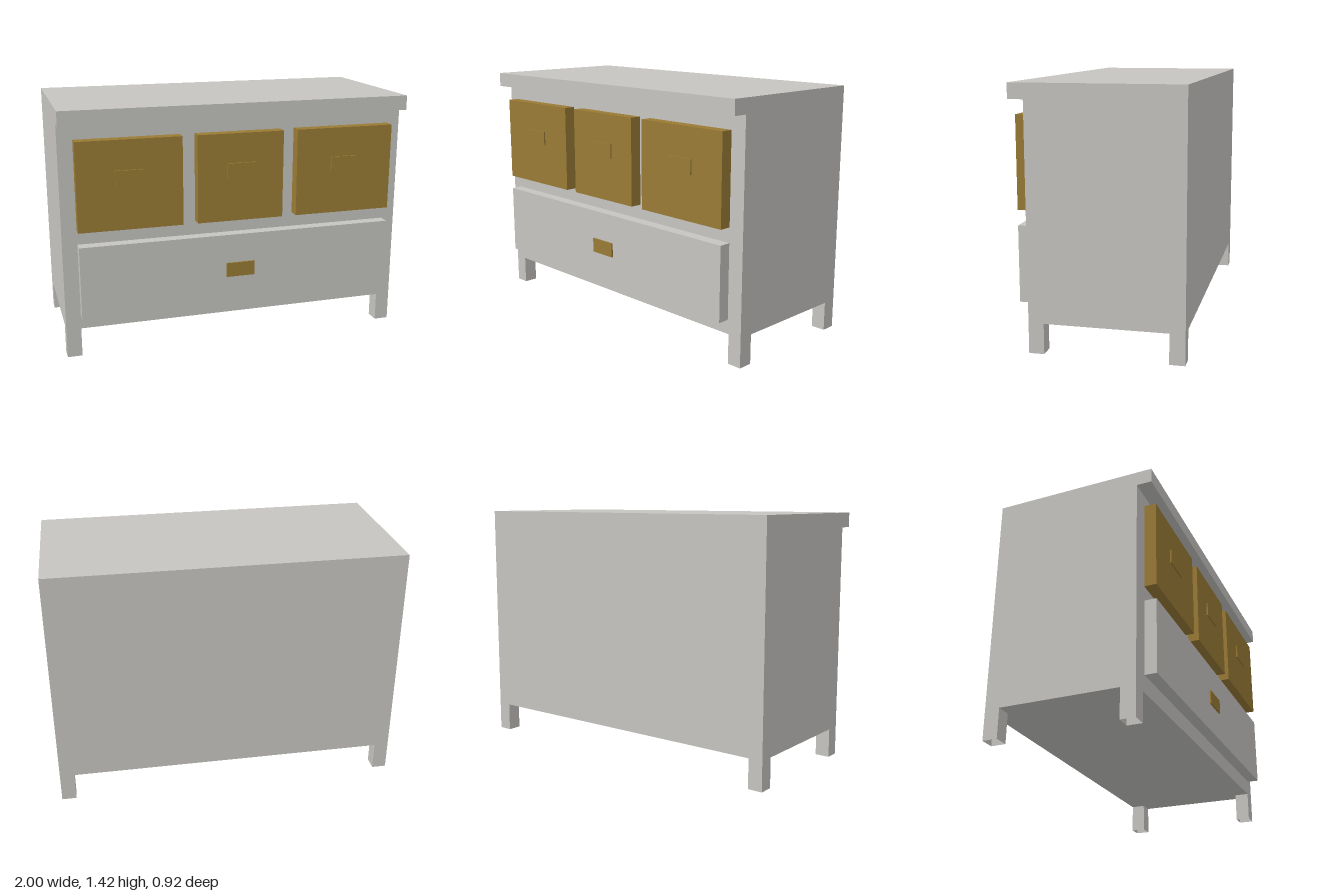
import * as THREE from 'three';

const U = 1 / 12; // design unit: the dresser is 24 wide, 17 high, 11 deep

const paint = new THREE.MeshStandardMaterial({ color: 0xc6c5c1, side: THREE.DoubleSide });
paint.name = 'grey paint';
const wood = new THREE.MeshStandardMaterial({ color: 0x9a7b35 });
wood.name = 'brown wood';

// Box given by its lower and upper corners in design units
function box(name, material, [x0, y0, z0], [x1, y1, z1]) {
  const geometry = new THREE.BoxGeometry((x1 - x0) * U, (y1 - y0) * U, (z1 - z0) * U);
  geometry.translate((x0 + x1) / 2 * U, (y0 + y1) / 2 * U, (z0 + z1) / 2 * U);
  const mesh = new THREE.Mesh(geometry, material);
  mesh.name = name;
  return mesh;
}

// Drawer front standing just clear of the cabinet, with a handle block through it
function drawer(name, material, x0, x1, y0, y1, handleY) {
  const group = new THREE.Group();
  group.name = name;
  const mid = (x0 + x1) / 2;
  group.add(
    box(name + 'Front', material, [x0, y0, 4.6], [x1, y1, 5.4]),
    box(name + 'Handle', wood, [mid - 1, handleY, 4.5], [mid + 1, handleY + 1, 5.5])
  );
  return group;
}

export function createModel() {
  const model = new THREE.Group();
  model.name = 'dresser';

  // Cabinet and overhanging top as one side profile, extruded across the width
  const profile = new THREE.Shape(
    [[-5.5, 2], [4.5, 2], [4.5, 16], [5.5, 16], [5.5, 17], [-5.5, 17]]
      .map(([z, y]) => new THREE.Vector2(-z * U, y * U))
  );
  const cabinetGeometry = new THREE.ExtrudeGeometry(profile, { depth: 2, bevelEnabled: false });
  cabinetGeometry.translate(0, 0, -1).rotateY(Math.PI / 2);
  const cabinet = new THREE.Mesh(cabinetGeometry, paint);
  cabinet.name = 'cabinet';
  model.add(cabinet);

  // Hollow legs, open underneath
  for (const [side, x] of [['Left', 11], ['Right', -12]]) {
    for (const [end, z] of [['front', 3.5], ['back', -5.5]]) {
      const leg = box(end + side + 'Leg', paint, [x, 0, z], [x + 1, 2, z + 1]);
      const index = Array.from(leg.geometry.index.array);
      leg.geometry.setIndex([...index.slice(0, 12), ...index.slice(24)]);
      leg.geometry.clearGroups();
      model.add(leg);
    }
  }

  // Three small wooden drawers over one wide painted drawer
  model.add(
    drawer('upperRightDrawer', wood, -11, -4, 9, 15, 12),
    drawer('upperMiddleDrawer', wood, -3, 3, 9, 15, 12),
    drawer('upperLeftDrawer', wood, 4, 11, 9, 15, 12),
    drawer('lowerDrawer', paint, -11, 11, 3, 8, 5)
  );
  return model;
}
